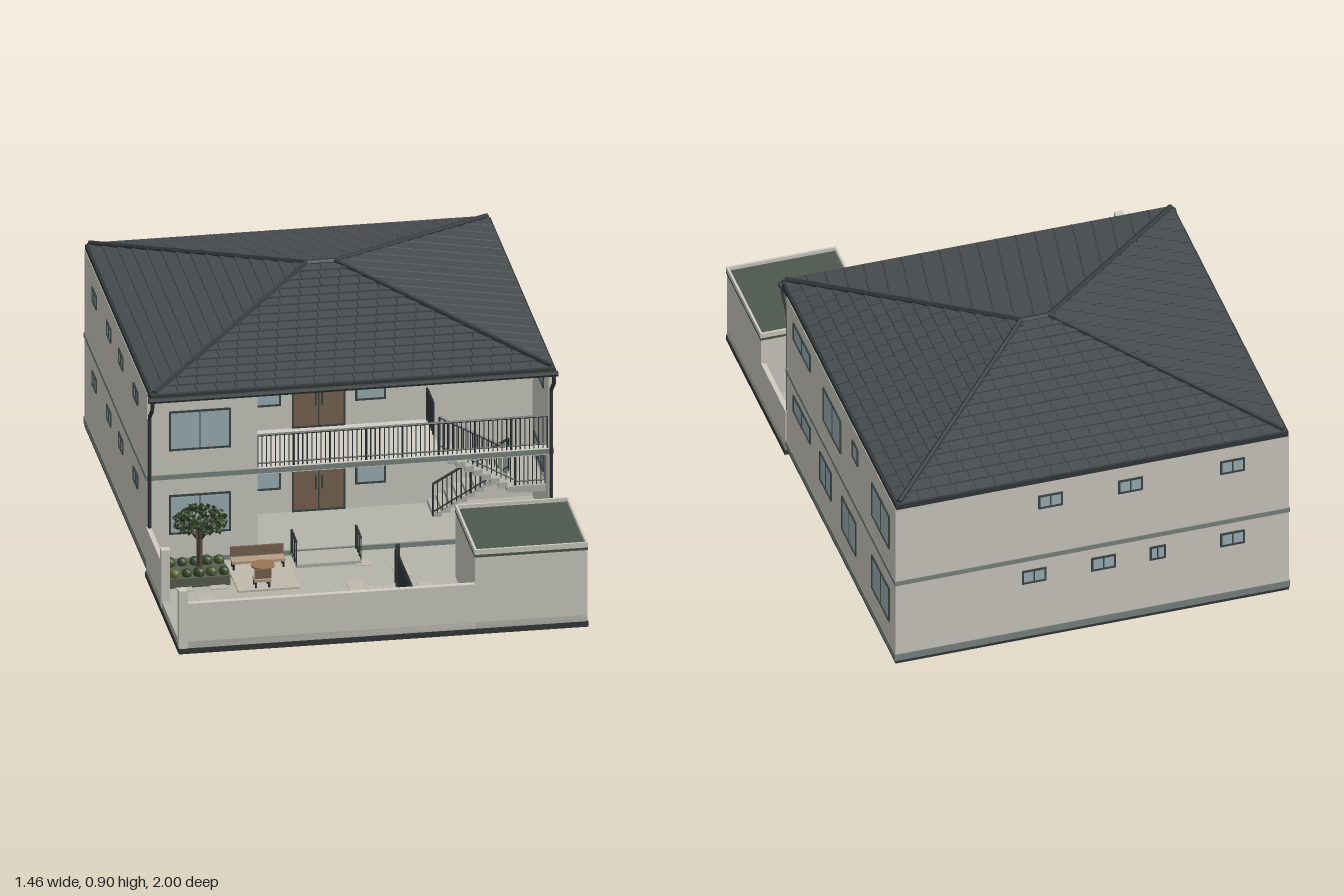
import * as THREE from 'three';
import { mergeGeometries } from 'three/addons/utils/BufferGeometryUtils.js';

const mats = {};
const mat = c => (mats[c] ??= new THREE.MeshStandardMaterial({ color: c, flatShading: true }));
const WALL = 0xd0cec4, BAND = 0x7c8682, DARK = 0x34393b, ROOF = 0x474c4f, FRAME = 0x3c4646,
  GLASS = 0x9fb4ba, WOOD = 0x7b6553, PAVE = 0xb4b5ab, LEAF = 0x2c3d22, SOIL = 0x5a5e50, GREEN = 0x4d584e;

let seed = 7;
const rnd = () => (seed = (seed * 16807) % 2147483647) / 2147483647;

function add(parent, name, geo, color) {
  const m = new THREE.Mesh(geo, mat(color));
  m.name = name;
  parent.add(m);
  return m;
}
const boxGeo = (x0, x1, y0, y1, z0, z1) =>
  new THREE.BoxGeometry(x1 - x0, y1 - y0, z1 - z0).translate((x0 + x1) / 2, (y0 + y1) / 2, (z0 + z1) / 2);
const box = (parent, name, color, ...b) => add(parent, name, boxGeo(...b), color);
function group(parent, name) {
  const g = new THREE.Group();
  g.name = name;
  parent.add(g);
  return g;
}
// square or round bar between two points
function bar(a, b, r, sides = 4) {
  const A = new THREE.Vector3(...a), B = new THREE.Vector3(...b), d = B.clone().sub(A);
  const g = new THREE.CylinderGeometry(r, r, d.length(), sides);
  g.applyQuaternion(new THREE.Quaternion().setFromUnitVectors(new THREE.Vector3(0, 1, 0), d.normalize()));
  return g.translate(...A.add(B).multiplyScalar(0.5).toArray());
}
// handrail with balusters standing on the line a-b
function railing(parent, name, a, b, h, n) {
  const up = (p, k) => [p[0], p[1] + k, p[2]], parts = [bar(up(a, h), up(b, h), 0.005), bar(up(a, 0.015), up(b, 0.015), 0.003)];
  for (let i = 0; i <= n; i++) {
    const p = a.map((v, k) => v + (b[k] - v) * i / n);
    parts.push(bar(p, up(p, h), i % 8 ? 0.002 : 0.004));
  }
  add(parent, name, mergeGeometries(parts), DARK);
}
// wall opening centred on (x, z), turned by ry to face outwards
function opening(parent, name, x, z, ry, w, y0, y1, panes = 2, fill = GLASS) {
  const g = group(parent, name), h = y1 - y0, t = 0.007, d = 0.005;
  g.position.set(x, y0, z);
  g.rotation.y = ry;
  box(g, 'pane', fill, -w / 2 + t / 2, w / 2 - t / 2, t / 2, h - t / 2, -0.002, 0.002);
  const f = [boxGeo(-w / 2, w / 2, 0, t, -0.002, d), boxGeo(-w / 2, w / 2, h - t, h, -0.002, d)];
  for (let i = 0; i <= panes; i++) {
    const c = (-w / 2 + t / 2) + (w - t) * i / panes, k = i % panes ? t / 3 : t / 2;
    f.push(boxGeo(c - k, c + k, t, h - t, -0.002, d - (i % panes ? 0.001 : 0)));
  }
  add(g, 'frame', mergeGeometries(f), FRAME);
}

function buildRoof(root) {
  const roof = group(root, 'roof'), cz = -0.3125, y0 = 0.72, y1 = 0.89, N = 15, lip = 0.006;
  box(roof, 'eaves', DARK, -0.722, 0.722, 0.692, y0, -0.994, 0.37);
  // overlapping tile courses, each a stepped ring
  const pos = [], seams = [];
  const ring = (t, dy) => {
    const x = 0.715 + (0.05 - 0.715) * t, z = 0.68 + (0.004 - 0.68) * t, y = y0 + (y1 - y0) * t + dy;
    return [[x, y, z + cz], [x, y, -z + cz], [-x, y, -z + cz], [-x, y, z + cz]];
  };
  const quad = (a, b, c, d) => pos.push(...a, ...b, ...c, ...a, ...c, ...d);
  for (let i = 0; i < N; i++) {
    const low = ring(i / N, 0), lo = ring(i / N, lip), hi = ring((i + 1) / N, 0);
    for (let k = 0; k < 4; k++) {
      const n = (k + 1) % 4, lerp = (a, b, t) => a.map((v, j) => v + (b[j] - v) * t);
      quad(low[k], low[n], lo[n], lo[k]);
      quad(lo[k], lo[n], hi[n], hi[k]);
      // staggered joints between tiles
      const L = Math.hypot(lo[n][0] - lo[k][0], lo[n][2] - lo[k][2]), axis = k % 2 ? 0 : 2;
      for (let s = -L / 2 + 0.02 + (i % 2) * 0.035; s < L / 2 - 0.04; s += 0.07) {
        const a = lerp(lo[k], lo[n], 0.5), b = lerp(hi[k], hi[n], 0.5);
        a[axis] += s; b[axis] += s;
        seams.push(bar(a, b, 0.0018, 3));
      }
    }
  }
  const top = ring(1, 0);
  quad(...top);
  const g = new THREE.BufferGeometry();
  g.setAttribute('position', new THREE.Float32BufferAttribute(pos, 3));
  g.computeVertexNormals();
  add(roof, 'tiles', g, ROOF);
  add(roof, 'tileJoints', mergeGeometries(seams), DARK);
  // hip and ridge caps
  const caps = ring(0.01, 0.006).map((p, k) => bar(p, [k < 2 ? 0.05 : -0.05, 0.892, cz], 0.01, 6));
  caps.push(bar([-0.055, 0.892, cz], [0.055, 0.892, cz], 0.01, 6));
  add(roof, 'ridgeCaps', mergeGeometries(caps), DARK);
  // gutter and downpipes
  add(roof, 'gutter', bar([-0.73, 0.7, 0.368], [0.73, 0.7, 0.368], 0.011, 8), DARK);
  for (const s of [-1, 1]) {
    const path = new THREE.CurvePath(), P = [[0.369, 0.695], [0.369, 0.665], [0.31, 0.615], [0.31, 0.05]];
    for (let i = 0; i < 3; i++)
      path.add(new THREE.LineCurve3(new THREE.Vector3(s * 0.716, P[i][1], P[i][0]), new THREE.Vector3(s * 0.716, P[i + 1][1], P[i + 1][0])));
    add(roof, 'downpipe', new THREE.TubeGeometry(path, 40, 0.007, 6), DARK);
  }
}

function buildHouse(root) {
  const h = group(root, 'house'), X = 0.724, B = -0.994, R = -0.03, F = 0.3;
  box(h, 'foundation', DARK, -X, X, 0.022, 0.035, B, F);
  box(h, 'mainWalls', WALL, -X, X, 0.03, 0.7, B, R);
  box(h, 'frontWing', WALL, -X, -0.33, 0.03, 0.7, R, F);
  box(h, 'sideWall', WALL, 0.708, X, 0.03, 0.7, R, F);
  box(h, 'porchFloor', PAVE, -0.33, 0.708, 0.03, 0.065, R, F);
  // balcony slab with a stairwell
  box(h, 'balconySlab', WALL, -0.33, 0.33, 0.362, 0.385, R, F);
  box(h, 'balconyEdge', WALL, 0.33, 0.708, 0.362, 0.385, 0.25, F);
  // plinth and storey bands
  for (const [n, y0, y1] of [['plinth', 0.035, 0.062], ['storeyBand', 0.366, 0.384]]) {
    const e = 0.003;
    box(h, n, BAND, -X - e, X + e, y0, y1, B - e, B + 0.02);
    for (const s of [-1, 1]) box(h, n, BAND, s * X - e, s * X + e, y0, y1, B, F);
    box(h, n, BAND, -X - e, X + e, y0, y1, F - 0.01, F + e);
  }
  for (const dy of [0, -0.32]) {
    // front wing window, porch windows, double door and lamp
    opening(h, 'frontWindow', -0.535, F, 0, 0.22, 0.475 + dy, 0.626 + dy);
    for (const x of [-0.245, 0.13]) opening(h, 'porchWindow', x, R, 0, 0.11, 0.475 + dy, 0.645 + dy, 1);
    opening(h, 'frontDoor', -0.055, R, 0, 0.19, 0.385 + dy, 0.603 + dy, 2, WOOD);
    for (const s of [-1, 1]) box(h, 'doorHandle', DARK, -0.055 + s * 0.012 - 0.002, -0.055 + s * 0.012 + 0.002, 0.47 + dy, 0.52 + dy, R, R + 0.01);
    box(h, 'porchLamp', DARK, -0.075, -0.035, 0.63 + dy, 0.64 + dy, R, R + 0.02);
    for (const z of [-0.78, -0.48, -0.23, 0.08]) opening(h, 'leftWindow', -X, z, -Math.PI / 2, 0.09, 0.578 + dy, 0.632 + dy);
  }
  // back windows: x, width, bottom
  for (const [x, w, y] of [[0.155, 0.09, 0.588], [-0.14, 0.09, 0.588], [-0.515, 0.09, 0.588],
    [0.215, 0.09, 0.268], [-0.04, 0.09, 0.268], [-0.24, 0.06, 0.268], [-0.515, 0.09, 0.268]])
    opening(h, 'backWindow', x, B, Math.PI, w, y, y + 0.058);
  // right side windows: z, width, bottom, top
  for (const [z, w, y0, y1] of [[0.11, 0.2, 0.577, 0.652], [-0.247, 0.205, 0.478, 0.625], [-0.52, 0.065, 0.57, 0.645],
    [-0.822, 0.205, 0.478, 0.625], [0.11, 0.2, 0.258, 0.332], [-0.172, 0.135, 0.188, 0.313], [-0.448, 0.17, 0.158, 0.305], [-0.822, 0.205, 0.158, 0.305]]) {
    opening(h, 'rightWindow', X, z, Math.PI / 2, w, y0, y1, w < 0.1 ? 1 : 2);
    if (z > 0) opening(h, 'rightWindowInside', 0.708, z, -Math.PI / 2, w, y0, y1);
  }
  // balcony rail and two-flight stair
  railing(h, 'balconyRail', [-0.328, 0.385, 0.29], [0.706, 0.385, 0.29], 0.122, 64);
  railing(h, 'stairwellRail', [0.33, 0.385, R + 0.01], [0.33, 0.385, 0.11], 0.122, 8);
  const st = group(h, 'stairs'), n = 9;
  for (let i = 0; i < n; i++) {
    const x = 0.33 + 0.03 * i, y = 0.385 - 0.0178 * (i + 1), y2 = 0.065 + 0.0178 * (i + 1);
    box(st, 'upperStep', PAVE, x, x + 0.032, y - 0.022, y, 0.12, 0.245);
    box(st, 'lowerStep', PAVE, x, x + 0.032, y2 - 0.022, y2, -0.025, 0.1);
  }
  box(st, 'landing', PAVE, 0.6, 0.708, 0.2, 0.225, -0.028, 0.245);
  railing(st, 'upperRail', [0.33, 0.385, 0.24], [0.6, 0.232, 0.24], 0.122, 16);
  railing(st, 'landingRail', [0.6, 0.227, 0.24], [0.706, 0.227, 0.24], 0.122, 7);
  railing(st, 'lowerRail', [0.33, 0.07, 0.1], [0.6, 0.225, 0.1], 0.122, 16);
}

function bush(parent, x, y, z, r) {
  const m = add(parent, 'bush', new THREE.IcosahedronGeometry(r, 1), [0x47582f, 0x5f7038, 0x364a2a][Math.floor(rnd() * 3)]);
  m.position.set(x, y, z);
}

function buildCourtyard(root) {
  const c = group(root, 'courtyard');
  box(c, 'courtBase', DARK, -0.73, 0.73, 0, 0.02, 0.3, 1);
  box(c, 'paving', PAVE, -0.727, 0.727, 0.02, 0.045, 0.3, 0.997);
  // boundary walls and piers
  box(c, 'frontWall', WALL, -0.727, 0.33, 0.02, 0.19, 0.977, 0.997);
  box(c, 'rightWall', WALL, 0.71, 0.727, 0.02, 0.19, 0.302, 0.6);
  box(c, 'leftWall', WALL, -0.727, -0.71, 0.02, 0.19, 0.302, 0.61);
  box(c, 'cornerPier', WALL, -0.729, -0.698, 0.02, 0.24, 0.966, 0.999);
  box(c, 'gatePier', WALL, -0.729, -0.698, 0.02, 0.24, 0.6, 0.632);
  // garage with parapet
  const g = group(c, 'garage');
  box(g, 'garageWalls', WALL, 0.327, 0.727, 0.02, 0.3, 0.592, 0.997);
  box(g, 'garageBand', GREEN, 0.325, 0.729, 0.293, 0.303, 0.59, 0.999);
  box(g, 'garageRoof', GREEN, 0.33, 0.724, 0.3, 0.308, 0.595, 0.994);
  for (const x of [0.325, 0.721]) box(g, 'parapet', WALL, x, x + 0.008, 0.303, 0.322, 0.59, 0.999);
  for (const z of [0.59, 0.991]) box(g, 'parapet', WALL, 0.333, 0.721, 0.303, 0.322, z, z + 0.008);
  // lighter paving slabs
  for (let i = 0; i < 22; i++) {
    const x = -0.66 + 0.06 * Math.floor(rnd() * 16), z = 0.38 + 0.06 * Math.floor(rnd() * 8);
    box(c, 'pavingSlab', 0xc0b9ac, x, x + 0.058, 0.04, 0.0465 + 0.0001 * i, z, z + 0.058);
  }
  box(c, 'terrace', 0xc0b9ac, -0.45, -0.23, 0.04, 0.052, 0.36, 0.6);
  box(c, 'doorStep', PAVE, -0.21, 0.02, 0.04, 0.058, 0.3, 0.42);
  for (const x of [-0.21, 0.02]) railing(c, 'stepRail', [x, 0.055, 0.31], [x, 0.05, 0.41], 0.09, 3);
  railing(c, 'courtRail', [0.112, 0.045, 0.6], [0.112, 0.045, 0.97], 0.125, 24);
  box(c, 'railPost', DARK, 0.105, 0.12, 0.045, 0.205, 0.63, 0.645);
  // hedge planter
  box(c, 'hedgePlanter', SOIL, -0.67, 0.05, 0.04, 0.075, 0.865, 0.955);
  for (let i = 0; i < 19; i++) for (const z of [0.889, 0.93])
    bush(c, -0.65 + i * 0.0378, 0.088, z, 0.016 + rnd() * 0.008);
  // tree in its planter
  const t = group(c, 'tree');
  box(t, 'treePlanter', SOIL, -0.68, -0.465, 0.04, 0.08, 0.37, 0.525);
  for (let i = 0; i < 10; i++) bush(t, -0.66 + (i % 5) * 0.044, 0.09, i < 5 ? 0.4 : 0.5, 0.018 + rnd() * 0.006);
  const limbs = [bar([-0.56, 0.07, 0.44], [-0.56, 0.2, 0.44], 0.011, 7)], leaves = [];
  for (let i = 0; i < 7; i++) {
    const a = i * 0.9;
    limbs.push(bar([-0.56, 0.185, 0.44], [-0.56 + 0.065 * Math.cos(a), 0.265, 0.44 + 0.06 * Math.sin(a)], 0.005, 5));
  }
  add(t, 'trunk', mergeGeometries(limbs), 0x54463a);
  for (let i = 0; i < 260; i++) {
    const a = rnd() * 6.283, r = Math.sqrt(rnd()), k = Math.sqrt(1 - 0.9 * r * r) * (rnd() * 2 - 1);
    const l = new THREE.OctahedronGeometry(0.008 + rnd() * 0.006).scale(1, 0.6, 1).rotateX(rnd() * 3).rotateY(rnd() * 3);
    leaves.push(l.translate(-0.558 + 0.093 * r * Math.cos(a), 0.272 + 0.046 * k - 0.012 * r, 0.44 + 0.09 * r * Math.sin(a)));
  }
  add(t, 'leaves', mergeGeometries(leaves), LEAF);
  box(c, 'smallPlanter', SOIL, 0.625, 0.695, 0.04, 0.08, 0.37, 0.425);
  for (const x of [0.645, 0.675]) bush(c, x, 0.09, 0.4, 0.017);
  // garden seating
  const s = group(c, 'gardenSeating');
  add(s, 'tableTop', new THREE.CylinderGeometry(0.042, 0.042, 0.006, 20), 0x967650).position.set(-0.345, 0.102, 0.5);
  add(s, 'tableLeg', bar([-0.345, 0.05, 0.5], [-0.345, 0.1, 0.5], 0.006, 8), DARK);
  const seat = (name, x0, x1, z0, z1, backZ) => {
    const q = group(s, name);
    box(q, 'seat', 0xb79f84, x0, x1, 0.075, 0.085, z0, z1);
    box(q, 'backrest', WOOD, x0, x1, 0.09, 0.125, backZ - 0.004, backZ + 0.004);
    for (const x of [x0 + 0.006, x1 - 0.006]) for (const z of [z0 + 0.006, z1 - 0.006])
      add(q, 'leg', bar([x, 0.05, z], [x, 0.078, z], 0.004), DARK);
  };
  seat('bench', -0.44, -0.25, 0.375, 0.42, 0.376);
  seat('chair', -0.39, -0.33, 0.545, 0.59, 0.589);
}

export function createModel() {
  const root = new THREE.Group();
  root.name = 'houseWithCourtyard';
  buildHouse(root);
  buildRoof(root);
  buildCourtyard(root);
  return root;
}
